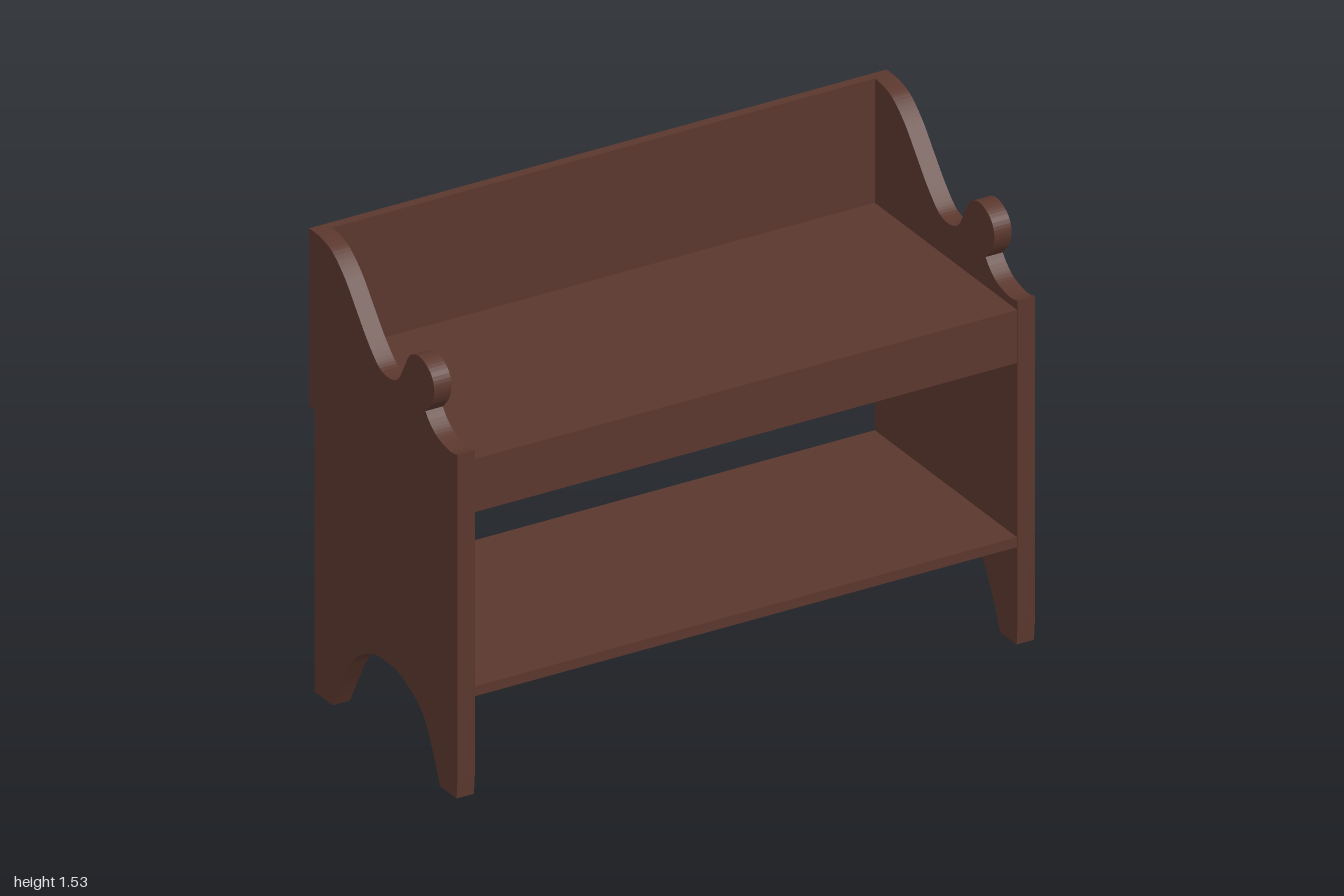
import * as THREE from 'three';
import { toCreasedNormals } from 'three/addons/utils/BufferGeometryUtils.js';

const points = (list) => list.map(([z, y]) => new THREE.Vector2(z, y));

// Outline of an end panel, drawn in (z, y)
function panelShape() {
  const s = new THREE.Shape();
  s.moveTo(0.42, 0);
  s.lineTo(0.425, 0.06);
  s.lineTo(0.425, 1.146);
  // hollow arm rest
  s.splineThru(points([[0.38, 1.14], [0.31, 1.155], [0.265, 1.185], [0.242, 1.212]]));
  // round knob, dip and wing rising to the back
  s.splineThru(points([
    [0.278, 1.255], [0.292, 1.305], [0.27, 1.352], [0.212, 1.378], [0.155, 1.36], [0.122, 1.31],
    [0.09, 1.255], [0.058, 1.235], [0.015, 1.231], [-0.03, 1.245], [-0.09, 1.3], [-0.15, 1.37],
    [-0.22, 1.452], [-0.29, 1.507], [-0.35, 1.526], [-0.393, 1.529],
  ]));
  s.lineTo(-0.393, 0);
  s.lineTo(-0.29, 0);
  // arch between the feet
  s.lineTo(-0.21, 0.15);
  s.splineThru(points([
    [-0.165, 0.208], [-0.105, 0.252], [-0.05, 0.274], [0.02, 0.28], [0.08, 0.275],
    [0.14, 0.254], [0.2, 0.22], [0.24, 0.18], [0.29, 0.085], [0.325, 0],
  ]));
  s.closePath();
  return s;
}

export function createModel() {
  const bench = new THREE.Group();
  bench.name = 'bench';
  const wood = new THREE.MeshStandardMaterial({ color: 0x5a372d });
  wood.name = 'dark brown wood';

  const add = (name, geometry) => {
    const mesh = new THREE.Mesh(geometry, wood);
    mesh.name = name;
    bench.add(mesh);
  };
  // Board given by its lower and upper limits
  const board = (name, halfWidth, y0, y1, z0, z1) => {
    const g = new THREE.BoxGeometry(halfWidth * 2, y1 - y0, z1 - z0);
    add(name, g.translate(0, (y0 + y1) / 2, (z0 + z1) / 2));
  };

  // End panels
  const thickness = 0.06;
  for (const [name, outerX] of [['leftPanel', 1], ['rightPanel', -1 + thickness]]) {
    const g = new THREE.ExtrudeGeometry(panelShape(), { depth: thickness, bevelEnabled: false, curveSegments: 32 });
    g.rotateY(-Math.PI / 2).translate(outerX, 0, 0);
    add(name, toCreasedNormals(g, 0.5));
  }

  // Boards across the bench
  board('backBoard', 1, 0.938, 1.529, -0.425, -0.393);
  board('seat', 0.94, 1.083, 1.115, -0.393, 0.422);
  board('apron', 0.94, 0.938, 1.083, 0.39, 0.422);
  board('shelf', 0.94, 0.325, 0.358, -0.393, 0.422);

  return bench;
}
